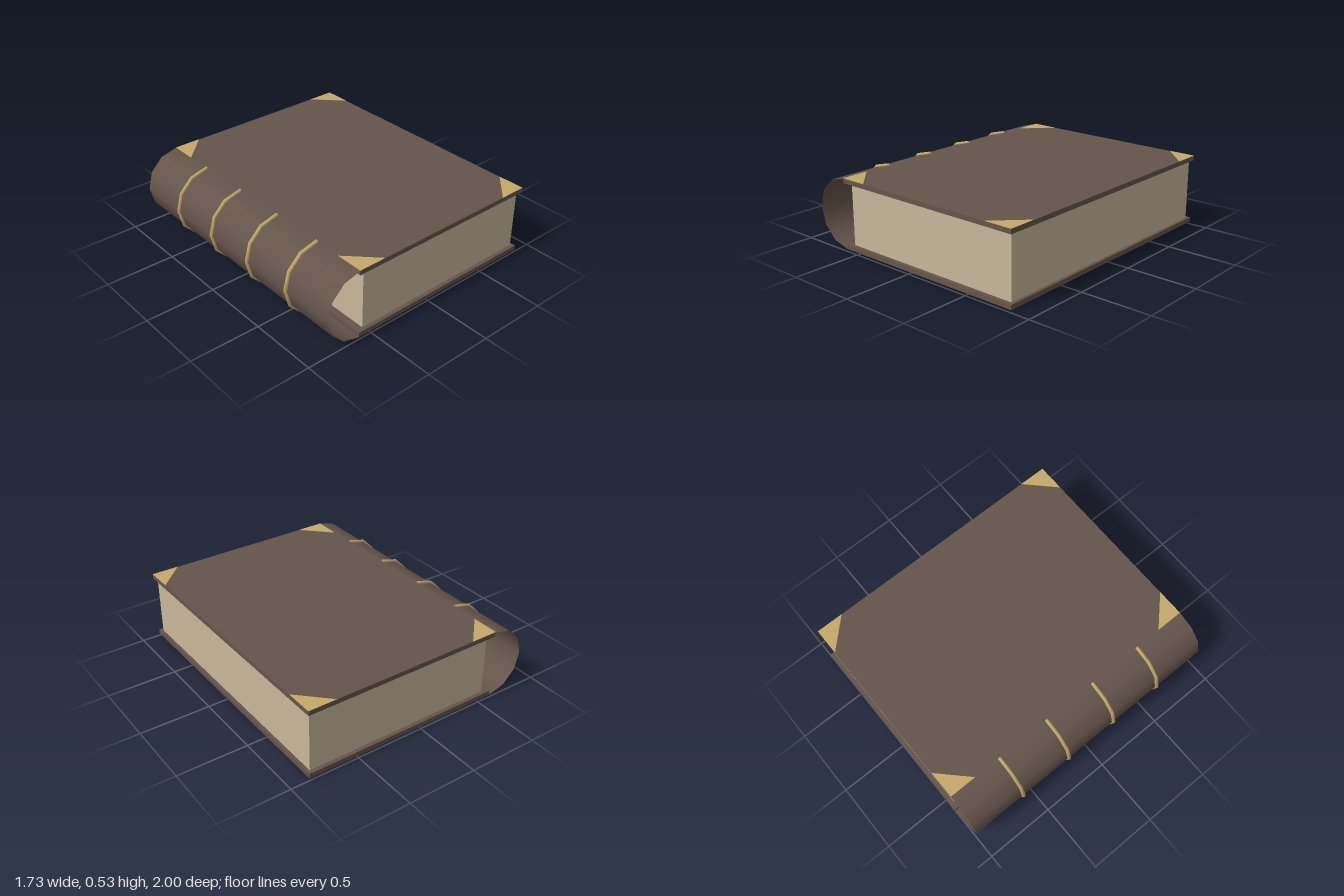
import * as THREE from 'three';

const leather = new THREE.MeshStandardMaterial({ color: 0x65554b });
const spineLeather = new THREE.MeshStandardMaterial({ color: 0x65554b, side: THREE.DoubleSide });
const paper = new THREE.MeshStandardMaterial({ color: 0xc8b89b });
const gold = new THREE.MeshStandardMaterial({ color: 0xc4aa6a, side: THREE.DoubleSide });

const MID = 0.267;      // height of the book's middle
const HINGE = -0.6;     // x where the covers meet the spine
const EDGE = 0.867;     // x of the covers' free edge
const HALF = 0.25;      // half thickness of the book
const BOARD = 0.033;    // cover thickness

export function createModel() {
  const book = new THREE.Group();
  book.name = 'book';
  const add = (name, geometry, material, x, y, z) => {
    const mesh = new THREE.Mesh(geometry, material);
    mesh.name = name;
    mesh.position.set(x, y, z);
    book.add(mesh);
  };

  // Covers
  const cover = new THREE.BoxGeometry(EDGE - HINGE, BOARD, 2);
  const coverX = (EDGE + HINGE) / 2;
  add('frontCover', cover, leather, coverX, MID + HALF - BOARD / 2, 0);
  add('backCover', cover, leather, coverX, MID - HALF + BOARD / 2, 0);

  // Page block
  add('pages', new THREE.BoxGeometry(1.395, 2 * (HALF - BOARD), 1.944), paper, 0.148, MID, 0);

  // Hollow half-round spine
  const spine = new THREE.CylinderGeometry(HALF, HALF, 2, 6, 1, true, Math.PI, Math.PI);
  spine.rotateX(Math.PI / 2);
  add('spine', spine, spineLeather, HINGE, MID, 0);

  // Raised bands round the spine
  const band = new THREE.TorusGeometry(0.2537, 0.0133, 6, 6, Math.PI);
  band.rotateZ(Math.PI / 2);
  for (const z of [-0.6, -0.2, 0.2, 0.6]) add('spineBand', band, gold, HINGE, MID, z);

  // Triangular corner plates on the front cover
  for (const sx of [-1, 1]) {
    for (const sz of [-1, 1]) {
      const plate = new THREE.Shape([
        new THREE.Vector2(0, 0),
        new THREE.Vector2(-sx * 0.2, 0),
        new THREE.Vector2(0, sz * 0.2),
      ]);
      const geometry = new THREE.ExtrudeGeometry(plate, { depth: 0.002, bevelEnabled: false });
      geometry.rotateX(-Math.PI / 2);
      add('cornerPlate', geometry, gold, sx < 0 ? HINGE : EDGE, MID + HALF, sz);
    }
  }
  return book;
}
